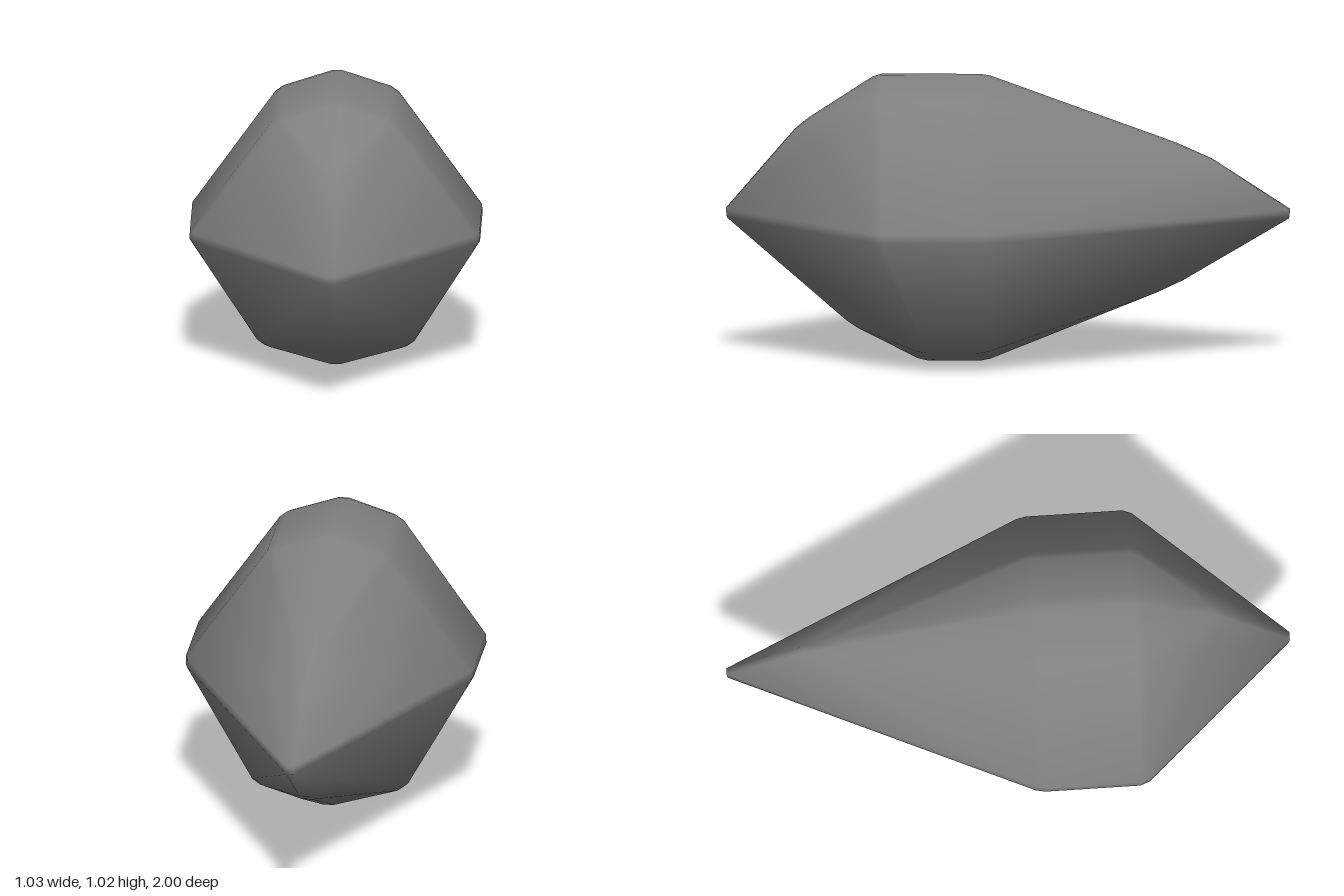
import * as THREE from 'three';
import { ConvexGeometry } from 'three/addons/geometries/ConvexGeometry.js';
import { mergeVertices } from 'three/addons/utils/BufferGeometryUtils.js';

const BEVEL = 0.018;

// Corners of one half (x >= 0) of the gem, before bevelling
const corners = {
  frontTip: [0, 0.525, 1.028], backTip: [0, 0.528, -1.045],
  girdleFront: [0.523, 0.52, 0.46], girdleBack: [0.523, 0.52, 0.08],
  crownFront: [0, 0.836, 0.76], crownBack: [0, 0.737, -0.725],
  ridgeFront: [0, 1.029, 0.465], ridgeBack: [0, 1.029, 0.08],
  shoulderFront: [0.212, 0.959, 0.465], shoulderBack: [0.212, 0.959, 0.08],
  keelFront: [0, -0.005, 0.305], keelBack: [0, -0.005, 0.08],
  chinFront: [0, 0.13, 0.57], chinBack: [0, 0.28, -0.62],
  hipFront: [0.27, 0.072, 0.305], hipBack: [0.27, 0.072, 0.08],
};

// Facets of the same half
const facets = [
  // crown
  'frontTip girdleFront shoulderFront crownFront',
  'crownFront shoulderFront ridgeFront',
  'girdleFront girdleBack shoulderBack shoulderFront',
  'shoulderFront shoulderBack ridgeBack ridgeFront',
  'girdleBack backTip crownBack shoulderBack',
  'shoulderBack crownBack ridgeBack',
  // base
  'frontTip girdleFront hipFront chinFront',
  'chinFront hipFront keelFront',
  'girdleFront girdleBack hipBack hipFront',
  'hipFront hipBack keelBack keelFront',
  'girdleBack backTip chinBack hipBack',
  'hipBack chinBack keelBack',
];

// Moves every corner of a facet inwards so each edge shifts by the bevel width
function insetFacet(names) {
  const pts = names.split(' ').map((n) => new THREE.Vector3(...corners[n]));
  return pts.map((p, i) => {
    const a = pts[(i + 1) % pts.length].clone().sub(p).normalize();
    const b = pts[(i + pts.length - 1) % pts.length].clone().sub(p).normalize();
    return a.clone().add(b).multiplyScalar(BEVEL / Math.sin(a.angleTo(b))).add(p);
  });
}

// Smooth normals weighted by corner angle, so narrow bevels soften the broad facets
function setSmoothNormals(geometry) {
  const position = geometry.attributes.position;
  const index = geometry.index.array;
  const normals = Array.from({ length: position.count }, () => new THREE.Vector3());
  for (let t = 0; t < index.length; t += 3) {
    const ids = [index[t], index[t + 1], index[t + 2]];
    const pts = ids.map((id) => new THREE.Vector3().fromBufferAttribute(position, id));
    const faceNormal = new THREE.Triangle(...pts).getNormal(new THREE.Vector3());
    ids.forEach((id, k) => {
      const a = pts[(k + 1) % 3].clone().sub(pts[k]);
      const b = pts[(k + 2) % 3].clone().sub(pts[k]);
      normals[id].addScaledVector(faceNormal, a.angleTo(b));
    });
  }
  const values = normals.flatMap((n) => n.normalize().toArray());
  geometry.setAttribute('normal', new THREE.Float32BufferAttribute(values, 3));
}

export function createModel() {
  const half = facets.flatMap(insetFacet);
  const mirrored = half.map((p) => new THREE.Vector3(-p.x, p.y, p.z));

  // The hull of the inset facets closes the narrow bevels between them
  const hull = new ConvexGeometry([...half, ...mirrored]);
  hull.deleteAttribute('normal');
  const geometry = mergeVertices(hull, 1e-4);
  setSmoothNormals(geometry);

  const gem = new THREE.Mesh(geometry, new THREE.MeshStandardMaterial({ color: 0x808080 }));
  gem.name = 'gemstone';
  const group = new THREE.Group();
  group.name = 'cutGem';
  group.add(gem);
  return group;
}
